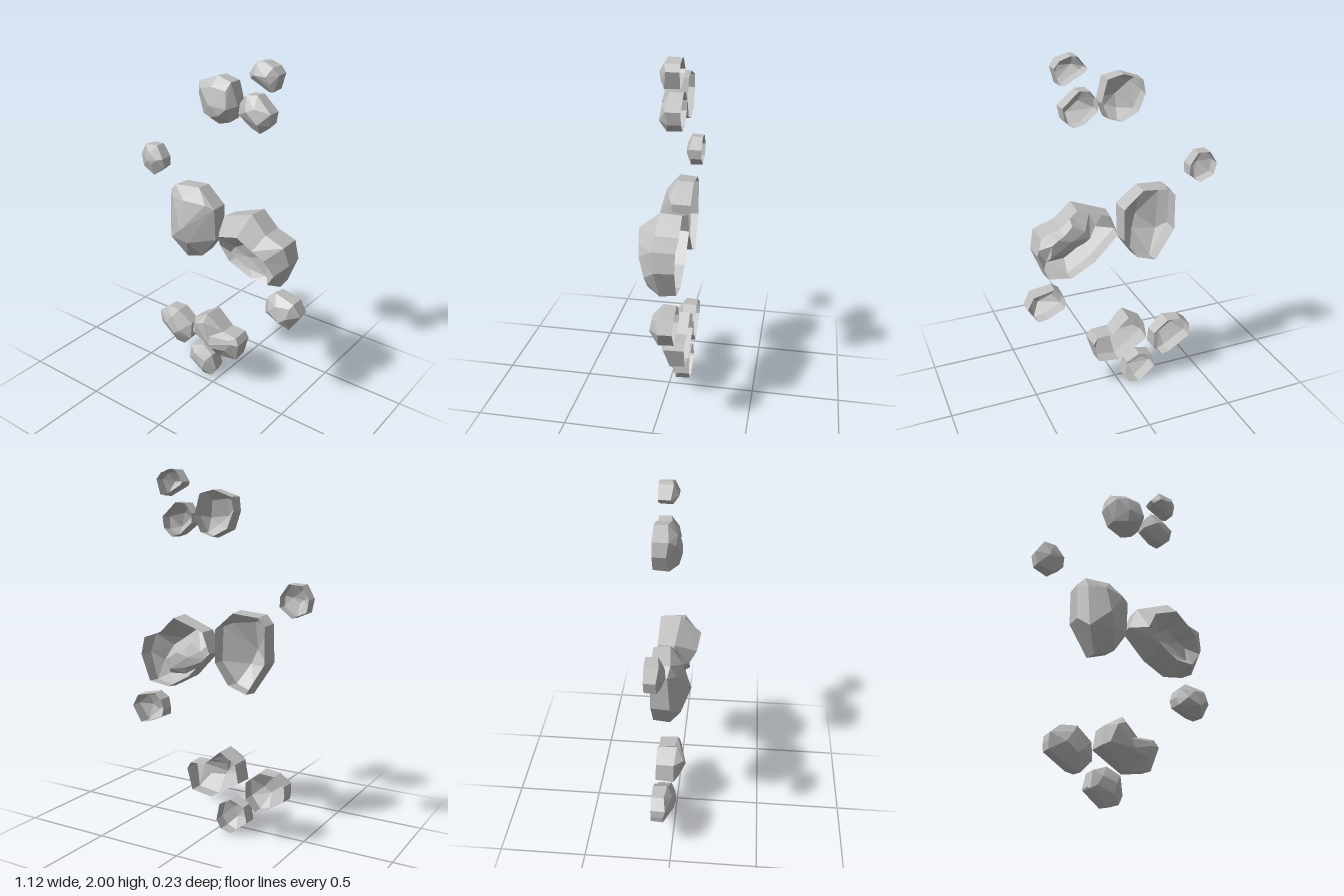
import * as THREE from 'three';
import { ConvexGeometry } from 'three/addons/geometries/ConvexGeometry.js';

// All coordinates below are in hundredths of a unit.
const BACK = -11.6;
const stoneGrey = new THREE.MeshStandardMaterial({ color: 0xbebebe, side: THREE.DoubleSide, flatShading: true });
stoneGrey.name = 'stoneGrey';

function meshFrom(name, coords) {
  const geo = new THREE.BufferGeometry();
  geo.setAttribute('position', new THREE.Float32BufferAttribute(coords, 3));
  geo.scale(0.01, 0.01, 0.01);
  geo.computeVertexNormals();
  const mesh = new THREE.Mesh(geo, stoneGrey);
  mesh.name = name;
  return mesh;
}

const middle = (ring) => ring.reduce((s, p) => [s[0] + p[0] / ring.length, s[1] + p[1] / ring.length], [0, 0]);

// The outline, drawn in slightly, where the stone meets the wall
function backRing(outline, shrink = 0.96) {
  const [cx, cy] = middle(outline);
  return outline.map(([x, y]) => [cx + (x - cx) * shrink, cy + (y - cy) * shrink, BACK]);
}

// Faceted convex stone: hull with an uneven shoulder; faces meeting the rear helper point are left open
function convexStone(name, shoulder, outline, front) {
  const rear = [...middle(outline), BACK - 8];
  const edge = outline.map(([x, y], i) => [x, y, shoulder + (i % 2) * 1.2]);
  const pts = [rear, ...backRing(outline), ...edge, ...front];
  const pos = new ConvexGeometry(pts.map((p) => new THREE.Vector3(...p))).getAttribute('position');
  const coords = [];
  for (let i = 0; i < pos.count; i += 3) {
    const tri = [0, 1, 2].map((k) => [pos.getX(i + k), pos.getY(i + k), pos.getZ(i + k)]);
    if (tri.every((p) => p[2] > BACK - 1)) coords.push(...tri.flat());
  }
  return meshFrom(name, coords);
}

// Stone with hollows or notches: clockwise loops joined from back to front, closed at a centre point
function loopStone(name, rings, centre) {
  const loops = [backRing(rings[0]), ...rings];
  const n = rings[0].length;
  const coords = [];
  for (let r = 0; r < loops.length - 1; r++) {
    for (let i = 0; i < n; i++) {
      const j = (i + 1) % n;
      const [a, b, c, d] = [loops[r][i], loops[r][j], loops[r + 1][i], loops[r + 1][j]];
      coords.push(...a, ...c, ...b, ...b, ...c, ...d);
    }
  }
  const last = loops[loops.length - 1];
  for (let i = 0; i < n; i++) coords.push(...centre, ...last[(i + 1) % n], ...last[i]);
  return meshFrom(name, coords);
}

export function createModel() {
  const group = new THREE.Group();
  group.name = 'wallStones';

  // Upper cluster
  group.add(convexStone('upperMiddleStone', -4.5,
    [[-12.5, 177.5], [-11, 185], [0, 189], [9, 187], [12.5, 175], [8.5, 166], [1, 163.5], [-8.5, 168]],
    [[-8, 182, 0], [-1, 175, 3], [-1, 184, 0.5], [8, 183, 0], [9.5, 174, 2], [5, 170, 2], [-1, 168, 1]]));
  group.add(convexStone('topStone', -5,
    [[19, 193], [24, 199.5], [27.5, 200], [33.5, 198], [36.5, 194.5], [34, 186], [31, 185.5], [20.5, 191]],
    [[24, 193.5, -1], [31, 193.5, -1], [33, 190, -2], [25.5, 197, -2.5], [31.5, 197, -3]]));
  group.add(convexStone('upperRightStone', -5,
    [[13.5, 176.5], [18, 182], [24, 182.5], [33, 174.5], [32, 168], [27, 163.5], [21, 165], [13.5, 171]],
    [[20.5, 174.5, 0], [25, 176.5, -1], [27.5, 169, 0], [18, 176.5, -2]]));

  // Middle band
  group.add(convexStone('middleLeftSmallStone', -5.5,
    [[-56, 134], [-51.5, 141], [-44, 141.5], [-39, 134.5], [-39, 129], [-46, 123.5], [-54.5, 127]],
    [[-47.5, 137, -2.5], [-48.5, 132.5, -1.5], [-42.5, 133.5, -2.5], [-46, 130.5, -2]]));
  group.add(convexStone('largeLeftStone', -2.5,
    [[-31.5, 119], [-27, 123.5], [-11.5, 125], [0, 115], [0, 96], [-8.5, 84], [-20, 80], [-31.5, 98]],
    [[-16, 102, 9], [-26.5, 93, 4], [-13, 94, 7], [-4.5, 117, 1], [-17, 118, 4.5], [-27, 117, 2], [-21, 86, 0]]));
  group.add(loopStone('largeHollowStone', [
    // outer edge
    [[2, 101, -3], [6.5, 113, -2], [26, 120, 0], [35.5, 111, 1], [47, 107, 1], [49.5, 96.5, -1],
      [43.5, 81, -3], [30, 79, -4], [16, 86.5, -2]],
    // raised rim
    [[9.5, 99.5, 6], [11.5, 106.5, 10], [24.5, 110.5, 11.6], [33, 104.5, 10], [39.5, 100, 8.5], [44, 91, 5],
      [39.5, 84, 4], [29, 84.5, 4], [16, 91.5, 6]],
    // hollow floor
    [[14, 95, 2], [17, 99, 2], [24, 103, 3], [28.5, 99, 2], [33, 97, 1], [36.5, 94.5, 1],
      [37.5, 87, 1], [27.5, 88.5, 2], [17, 92.5, 2]],
  ], [25, 95, 1]));
  group.add(convexStone('middleRightSmallStone', -4.5,
    [[33.5, 66], [35.5, 71.5], [40, 75], [52, 72.5], [56, 65.5], [50, 56], [44.5, 57], [34.5, 61.5]],
    [[38.5, 65.5, 0.5], [43, 70, 0.5], [51, 70.5, -1], [50, 64.5, 1], [46, 61.5, 2]]));

  // Lower cluster
  group.add(convexStone('lowerLeftStone', -4.5,
    [[-44, 29], [-43.5, 33.5], [-37.5, 38.5], [-28.5, 39], [-19.5, 32], [-19.5, 22], [-25.5, 15.5],
      [-30.5, 16.5], [-43.5, 25]],
    [[-36, 29, 0.5], [-32, 34.5, 0], [-25.5, 27, 0.5], [-29.5, 24, 1]]));
  group.add(loopStone('notchedStone', [
    // outer edge
    [[-16, 30, -1], [-14, 41, -1], [-4, 47, 0], [6.5, 38, -2], [16, 37.5, -1], [18.5, 33.5, 0],
      [15, 21, -3], [2, 19, -3]],
    // front face
    [[-12, 32, 2], [-9, 41, 4.5], [-4, 43, 4], [0, 35, 3.5], [12.5, 35.5, 1], [14, 33.5, 1.5],
      [10, 28, 2], [2, 28, 4.5]],
  ], [0.5, 30, 5]));
  group.add(convexStone('bottomStone', -4.5,
    [[-21, 9], [-19, 17.5], [-10.5, 20.5], [-3, 16.5], [-1, 6.5], [-4, 1.5], [-10.5, 0], [-20.5, 8]],
    [[-14.5, 14.5, -0.5], [-6.5, 12, -0.5], [-8.5, 6, 0], [-17, 10, -1.5]]));

  return group;
}
